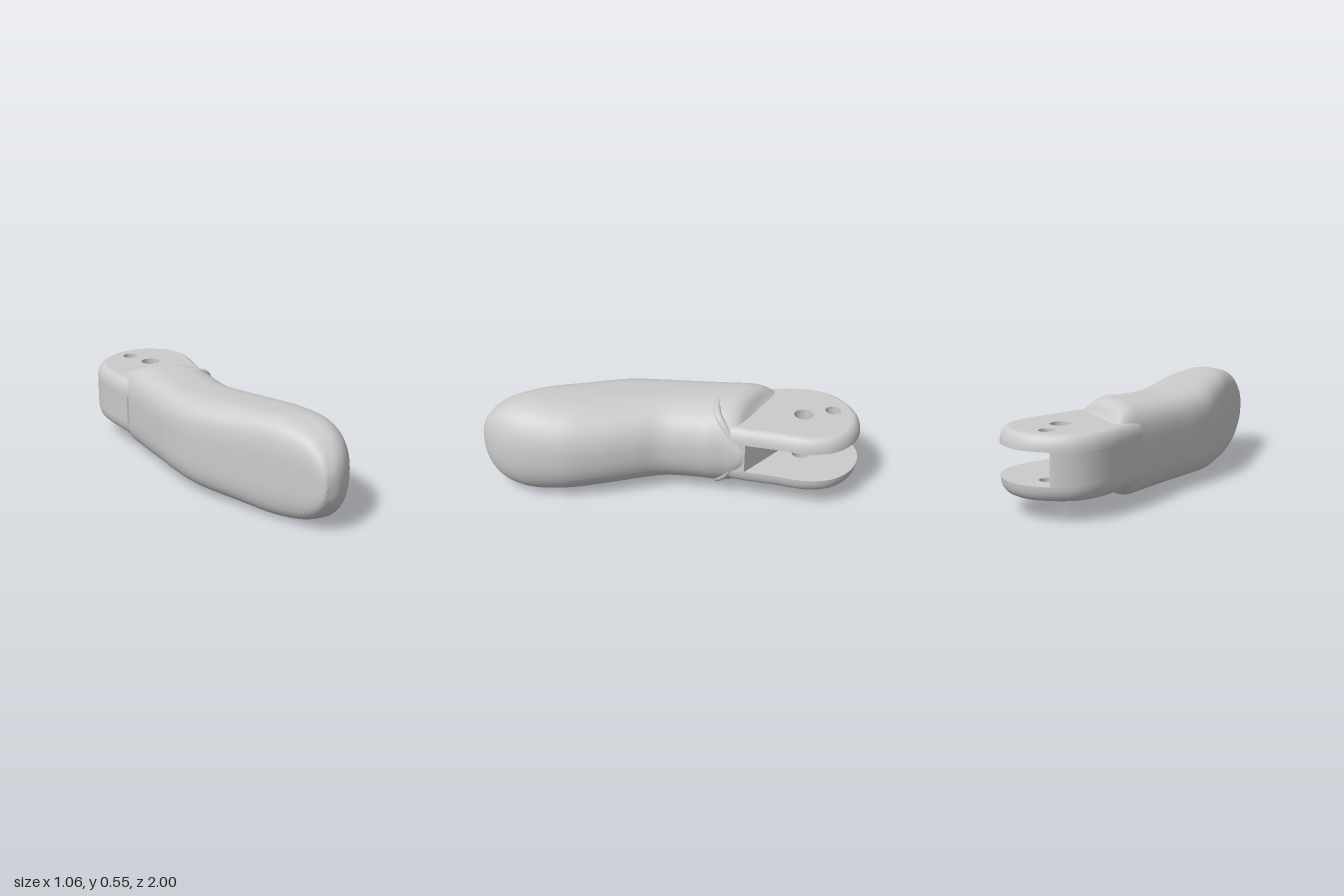
import * as THREE from 'three';
import { mergeGeometries } from 'three/addons/utils/BufferGeometryUtils.js';

const MID = 0.275; // height of the plane of symmetry
const material = new THREE.MeshStandardMaterial({ color: 0xcccccc, side: THREE.DoubleSide });

// Grip stations: left x, left z, right x, right z, half height
const stations = [
  [-0.465, -0.56, 0.088, -0.45, 0.15],
  [-0.455, -0.51, 0.1, -0.42, 0.175],
  [-0.44, -0.45, 0.107, -0.38, 0.225],
  [-0.42, -0.37, 0.115, -0.33, 0.248],
  [-0.395, -0.27, 0.138, -0.25, 0.248],
  [-0.37, -0.17, 0.155, -0.16, 0.245],
  [-0.325, 0.0, 0.2, 0.0, 0.243],
  [-0.285, 0.15, 0.28, 0.12, 0.247],
  [-0.21, 0.33, 0.39, 0.28, 0.258],
  [-0.06, 0.53, 0.485, 0.46, 0.268],
  [0.08, 0.7, 0.525, 0.66, 0.272],
  [0.2, 0.855, 0.51, 0.81, 0.235],
  [0.27, 0.945, 0.465, 0.91, 0.165],
  [0.305, 0.988, 0.4, 0.975, 0.085],
  [0.325, 1.0, 0.325, 1.0, 0],
];
const spline = (pts) => new THREE.CatmullRomCurve3(pts, false, 'catmullrom', 0.5);
const leftCurve = spline(stations.map((s) => new THREE.Vector3(s[0], s[4], s[1])));
const rightCurve = spline(stations.map((s) => new THREE.Vector3(s[2], s[4], s[3])));

// Point on the grip: s runs along it, angle runs round it from the right edge
function gripPoint(s, angle) {
  const L = leftCurve.getPoint(s), R = rightCurve.getPoint(s);
  const c = Math.cos(angle), d = Math.sin(angle);
  const n = c < 0 ? 3.6 : 2.3; // flatter left side, rounder right side
  const u = Math.sign(c) * Math.abs(c) ** (2 / n);
  const v = Math.sign(d) * Math.abs(d) ** (2 / n);
  const p = new THREE.Vector3().lerpVectors(L, R, (u + 1) / 2);
  p.z += 0.045 * (1 - u * u) * Math.max(0, 1 - s * 3.5); // bowed shoulder at the fork
  p.y = Math.max(0, L.y) * v;
  return p;
}

function gripGeometry(rows = 110, cols = 72) {
  const pos = [], index = [];
  for (let i = 0; i <= rows; i++) {
    for (let j = 0; j < cols; j++) pos.push(...gripPoint(i / rows, (j / cols) * Math.PI * 2).toArray());
  }
  for (let i = 0; i < rows; i++) {
    for (let j = 0; j < cols; j++) {
      const a = i * cols + j, b = i * cols + (j + 1) % cols;
      index.push(a, b, a + cols, b, b + cols, a + cols);
    }
  }
  // cap at the fork end
  const centre = pos.length / 3;
  pos.push(-0.19, 0, -0.46);
  for (let j = 0; j < cols; j++) index.push(centre, (j + 1) % cols, j);
  return surface(pos, index);
}

function surface(pos, index) {
  const g = new THREE.BufferGeometry();
  g.setAttribute('position', new THREE.Float32BufferAttribute(pos, 3));
  g.setIndex(index);
  g.computeVertexNormals();
  return g;
}

// Mirror a geometry across y = 0
function mirrorY(geometry) {
  const g = geometry.clone().scale(1, -1, 1);
  const a = g.index.array;
  for (let i = 0; i < a.length; i += 3) [a[i], a[i + 1]] = [a[i + 1], a[i]];
  return g;
}

// Plan outline of the fork, drawn as x, -z and running round the back
const outline = spline([
  [0.09, -0.36], [0.09, -0.45], [0.07, -0.62], [0.055, -0.78], [0.0, -0.9], [-0.1, -0.975], [-0.22, -1],
  [-0.34, -0.975], [-0.44, -0.9], [-0.51, -0.8], [-0.53, -0.69], [-0.51, -0.57], [-0.46, -0.43], [-0.42, -0.33],
].map(([x, z]) => new THREE.Vector3(x, -z, 0)));
const holes = [[-0.21, -0.69, 0.053], [-0.31, -0.83, 0.042]];
const STEPS = 104;

function outlinePoint(t, inset = 0) {
  const p = outline.getPoint(t), d = outline.getTangent(t);
  return new THREE.Vector2(p.x - d.y * inset, p.y + d.x * inset);
}

// Flat face of a fork plate with its pin holes
function plateFace(inset, y) {
  const pts = Array.from({ length: STEPS + 1 }, (_, i) => outlinePoint(i / STEPS, inset));
  const shape = new THREE.Shape(pts);
  for (const [x, z, r] of holes) shape.holes.push(new THREE.Path().absarc(x, -z, r, 0, Math.PI * 2, true));
  return new THREE.ShapeGeometry(shape, 32).rotateX(-Math.PI / 2).translate(0, y, 0);
}

// Upper fork plate: flat inside, rounded outer rim
function plateGeometry(y0 = 0.085, y1 = 0.165, round = 0.048, rows = 8) {
  const pos = [], index = [], w = STEPS + 1;
  for (let k = 0; k <= rows; k++) {
    const a = (k / rows) * Math.PI / 2;
    for (let i = 0; i < w; i++) {
      const p = outlinePoint(i / STEPS, round * (1 - Math.cos(a)));
      pos.push(p.x, y0 + (y1 - y0) * Math.sin(a), -p.y);
    }
  }
  for (let k = 0; k < rows; k++) {
    for (let i = 0; i < STEPS; i++) {
      const a = k * w + i;
      index.push(a, a + 1, a + w, a + 1, a + w + 1, a + w);
    }
  }
  const parts = [surface(pos, index), plateFace(round, y1), mirrorY(plateFace(0, -y0))];
  for (const [x, z, r] of holes) {
    parts.push(new THREE.CylinderGeometry(r, r, y1 - y0, 32, 1, true).translate(x, (y0 + y1) / 2, z));
  }
  parts.forEach((g) => g.deleteAttribute('uv'));
  return mergeGeometries(parts);
}

// Wall and floor of the slot between the plates
function slotWallGeometry() {
  const shape = new THREE.Shape();
  const start = 8.15 / 13;
  for (let i = 0; i <= 40; i++) {
    const p = outlinePoint(start + (1 - start) * (i / 40));
    i ? shape.lineTo(p.x, p.y) : shape.moveTo(p.x, p.y);
  }
  shape.lineTo(0.085, 0.36);
  shape.lineTo(0.09, 0.45);
  shape.lineTo(-0.32, 0.62);
  const end = outlinePoint(start);
  shape.quadraticCurveTo(-0.41, 0.76, end.x + 0.012, end.y + 0.01);
  return new THREE.ExtrudeGeometry(shape, { depth: 0.17, bevelEnabled: false, curveSegments: 20 })
    .rotateX(-Math.PI / 2).translate(0, -0.085, 0);
}

// Raised rib that sweeps from the crown of the shoulder to the open side of the slot
function ribGeometry() {
  const pts = [];
  for (let i = 0; i <= 10; i++) {
    const f = i / 10;
    const p = gripPoint((4.2 - 2 * f * f) / 14, 1.5 - 1.15 * f);
    const sink = 0.024 - 0.016 * Math.sin(f * Math.PI);
    pts.push(new THREE.Vector3(p.x - sink * Math.cos(1.5 - f), p.y - sink * Math.sin(1.5 - f), p.z));
  }
  return new THREE.TubeGeometry(spline(pts), 40, 0.022, 12);
}

export function createModel() {
  const model = new THREE.Group();
  model.name = 'forkedGrip';
  const add = (name, geometry) => {
    const mesh = new THREE.Mesh(geometry, material);
    mesh.name = name;
    mesh.position.y = MID;
    model.add(mesh);
  };
  add('grip', gripGeometry());
  add('slotWall', slotWallGeometry());
  const plate = plateGeometry(), rib = ribGeometry();
  add('upperForkPlate', plate);
  add('lowerForkPlate', mirrorY(plate));
  add('upperShoulderRib', rib);
  add('lowerShoulderRib', mirrorY(rib));
  return model;
}
